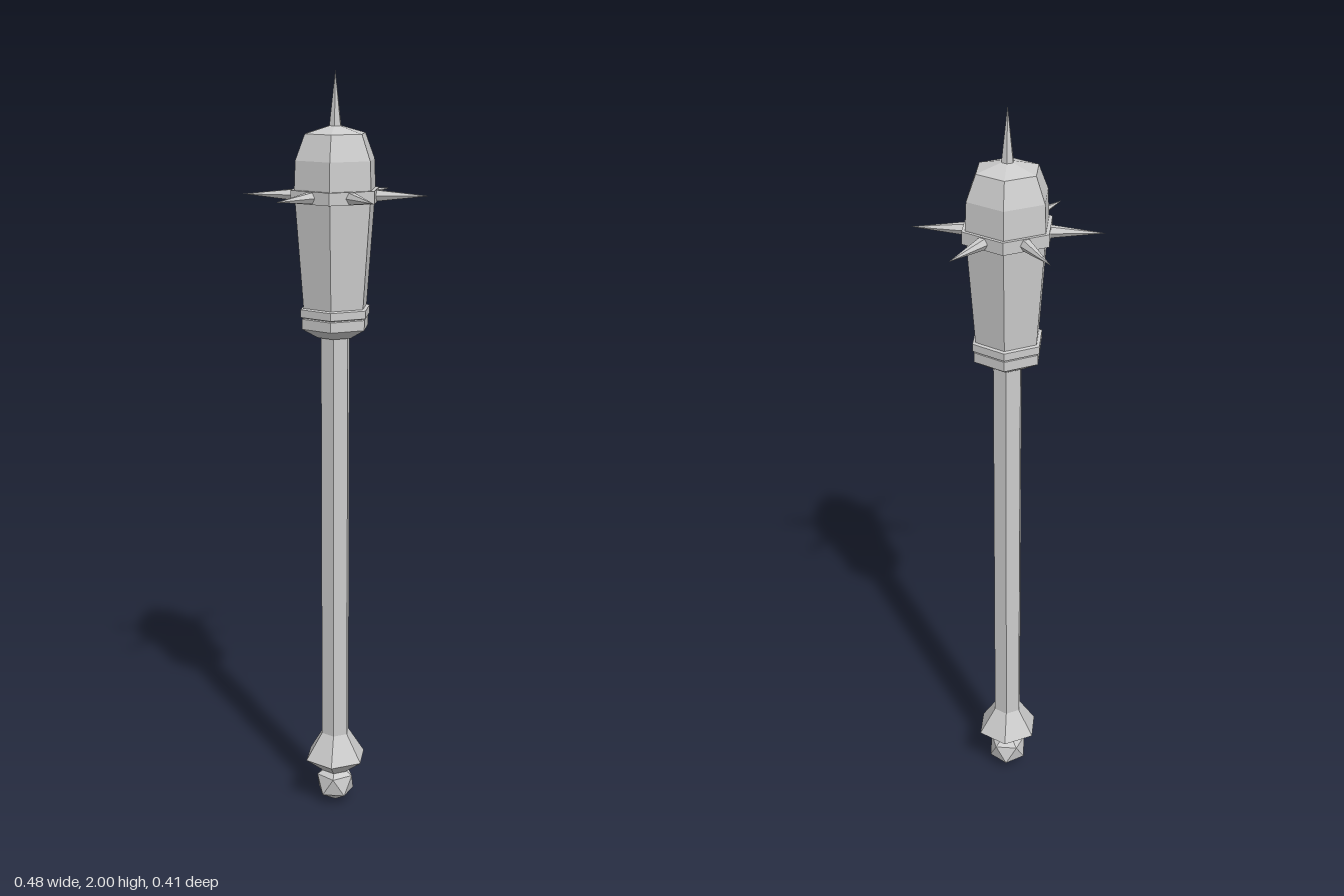
import * as THREE from 'three';

const material = new THREE.MeshStandardMaterial({ color: 0xcccccc, flatShading: true });

function addMesh(parent, name, geometry) {
  const mesh = new THREE.Mesh(geometry, material);
  mesh.name = name;
  parent.add(mesh);
  return mesh;
}

// Six-sided turned part: [corner radius, height] pairs from bottom to top, corners on +z and -z
function hexTurned(profile) {
  return new THREE.LatheGeometry(profile.map(([r, y]) => new THREE.Vector2(r, y)), 6);
}

// Six-sided spike standing on its base
function spikeGeometry(radius, length) {
  return new THREE.ConeGeometry(radius, length, 6).translate(0, length / 2, 0);
}

export function createModel() {
  const mace = new THREE.Group();
  mace.name = 'mace';

  // Pommel: icosahedron turned so one corner points straight down
  const pommelRadius = 0.057;
  const pommel = new THREE.IcosahedronGeometry(pommelRadius, 0);
  pommel.rotateZ(Math.atan(2 / (1 + Math.sqrt(5)))).rotateY(Math.PI / 2);
  addMesh(mace, 'pommel', pommel).position.y = pommelRadius;

  // Flared guard above the pommel
  addMesh(mace, 'pommelGuard', hexTurned([
    [0, 0.095], [0.036, 0.095], [0.087, 0.135], [0.04, 0.21], [0, 0.21],
  ]));

  // Long shaft
  addMesh(mace, 'shaft', hexTurned([[0.04, 0.2], [0.04, 1.34]]));

  // Stepped collar under the head
  addMesh(mace, 'collar', hexTurned([
    [0, 1.327], [0.05, 1.327], [0.093, 1.352], [0.093, 1.378], [0.088, 1.38],
    [0.097, 1.383], [0.097, 1.403], [0.088, 1.406], [0, 1.406],
  ]));

  // Tapered head with a faceted dome
  addMesh(mace, 'head', hexTurned([
    [0.088, 1.4], [0.111, 1.69], [0.112, 1.71], [0.109, 1.78], [0.083, 1.845], [0, 1.868],
  ]));

  // Flat band that carries the spikes
  addMesh(mace, 'spikeBand', hexTurned([
    [0.1, 1.675], [0.122, 1.675], [0.122, 1.707], [0.1, 1.707],
  ]));

  // Spikes, one on each flat of the head
  const spikes = new THREE.Group();
  spikes.name = 'sideSpikes';
  spikes.position.y = 1.691;
  mace.add(spikes);
  const sideSpike = spikeGeometry(0.018, 0.148).rotateZ(-Math.PI / 2).translate(0.09, 0, 0);
  for (let i = 0; i < 6; i++) {
    addMesh(spikes, 'sideSpike', sideSpike).rotation.y = i * Math.PI / 3;
  }

  // Spike on the crown
  addMesh(mace, 'topSpike', spikeGeometry(0.018, 0.15)).position.y = 1.85;

  return mace;
}
